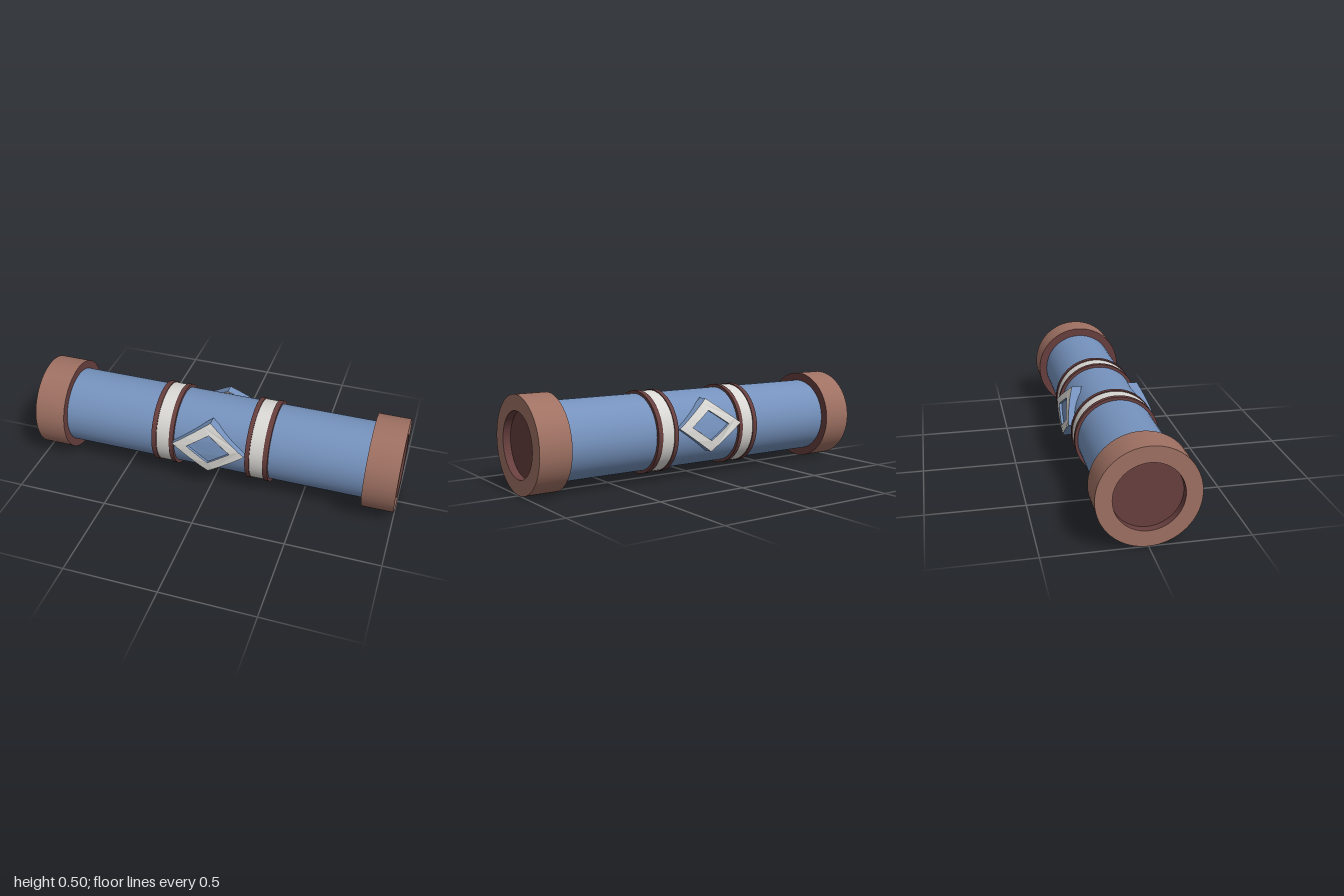
import * as THREE from 'three';
import { mergeGeometries } from 'three/addons/utils/BufferGeometryUtils.js';

const mat = (name, color) => {
  const m = new THREE.MeshStandardMaterial({ color });
  m.name = name;
  return m;
};

// Surface of revolution about the x axis; profile is [x, radius], crisp at every point
function turned(profile) {
  const pieces = [];
  for (let i = 0; i < profile.length - 1; i++) {
    const pts = [profile[i], profile[i + 1]].map(([x, r]) => new THREE.Vector2(r, x));
    pieces.push(new THREE.LatheGeometry(pts, 64));
  }
  return mergeGeometries(pieces).rotateZ(-Math.PI / 2);
}

// Diamond outline with subdivided edges so that it can be bent
function diamond(w, h, Type) {
  const corners = [[w, 0], [0, h], [-w, 0], [0, -h]];
  const pts = [];
  corners.forEach(([x, y], i) => {
    const [nx, ny] = corners[(i + 1) % 4];
    for (let k = 0; k < 6; k++) {
      const t = k / 6;
      pts.push(new THREE.Vector2(x + (nx - x) * t, y + (ny - y) * t));
    }
  });
  return new Type(pts);
}

// Extrudes a shape from z = back to z = front, then curves it back towards its top
function bentPlate(shape, back, front) {
  const g = new THREE.ExtrudeGeometry(shape, { depth: front - back, bevelEnabled: false });
  const p = g.attributes.position;
  for (let i = 0; i < p.count; i++) {
    const d = p.getY(i) + 0.07;
    p.setZ(i, p.getZ(i) + back - 1.36 * d * d);
  }
  g.computeVertexNormals();
  return g;
}

export function createModel() {
  const blue = mat('blue', 0x7592bd);
  const brown = mat('brown', 0x9f7163);
  const maroon = mat('maroon', 0x673f3e);
  const white = mat('offWhite', 0xdad8d4);

  const model = new THREE.Group();
  model.name = 'capsuleTube';
  const axis = new THREE.Group();
  axis.name = 'tubeAssembly';
  axis.position.y = 0.25;
  model.add(axis);

  const add = (parent, name, geometry, material) => {
    const m = new THREE.Mesh(geometry, material);
    m.name = name;
    parent.add(m);
  };

  // Main tube
  add(axis, 'tube', turned([[-0.9, 0.206], [0.9, 0.206]]), blue);

  // Each half turn carries one end cap, one band and one diamond ornament
  for (const [side, angle] of [['left', 0], ['right', Math.PI]]) {
    const half = new THREE.Group();
    half.name = side + 'Half';
    half.rotation.y = angle;
    axis.add(half);

    // End cap with a recessed dark face
    add(half, 'endCap', turned([[0.83, 0.25], [1, 0.25], [1, 0.17]]), brown);
    add(half, 'endRecess', turned([[1, 0.17], [0.96, 0.17], [0.96, 0]]), maroon);
    add(half, 'capInnerFace', turned([[0.83, 0.2], [0.83, 0.25]]), maroon);

    // Pale band between two dark rings
    add(half, 'band', turned([[0.22, 0.217], [0.3, 0.217]]), white);
    for (const [a, b] of [[0.2, 0.224], [0.297, 0.324]]) {
      add(half, 'bandRing', turned([[a, 0.2], [a, 0.222], [b, 0.222], [b, 0.2]]), maroon);
    }

    // Diamond ornament: pale frame face, blue sides and blue sunken centre
    const ornament = new THREE.Group();
    ornament.name = 'diamondOrnament';
    ornament.position.y = 0.035;
    half.add(ornament);
    const frame = diamond(0.2, 0.14, THREE.Shape);
    frame.holes.push(diamond(0.12, 0.08, THREE.Path));
    add(ornament, 'diamondFrame', bentPlate(frame, 0.187, 0.24), [white, blue]);
    add(ornament, 'diamondCentre', bentPlate(diamond(0.125, 0.084, THREE.Shape), 0.19, 0.226), blue);
  }
  return model;
}
